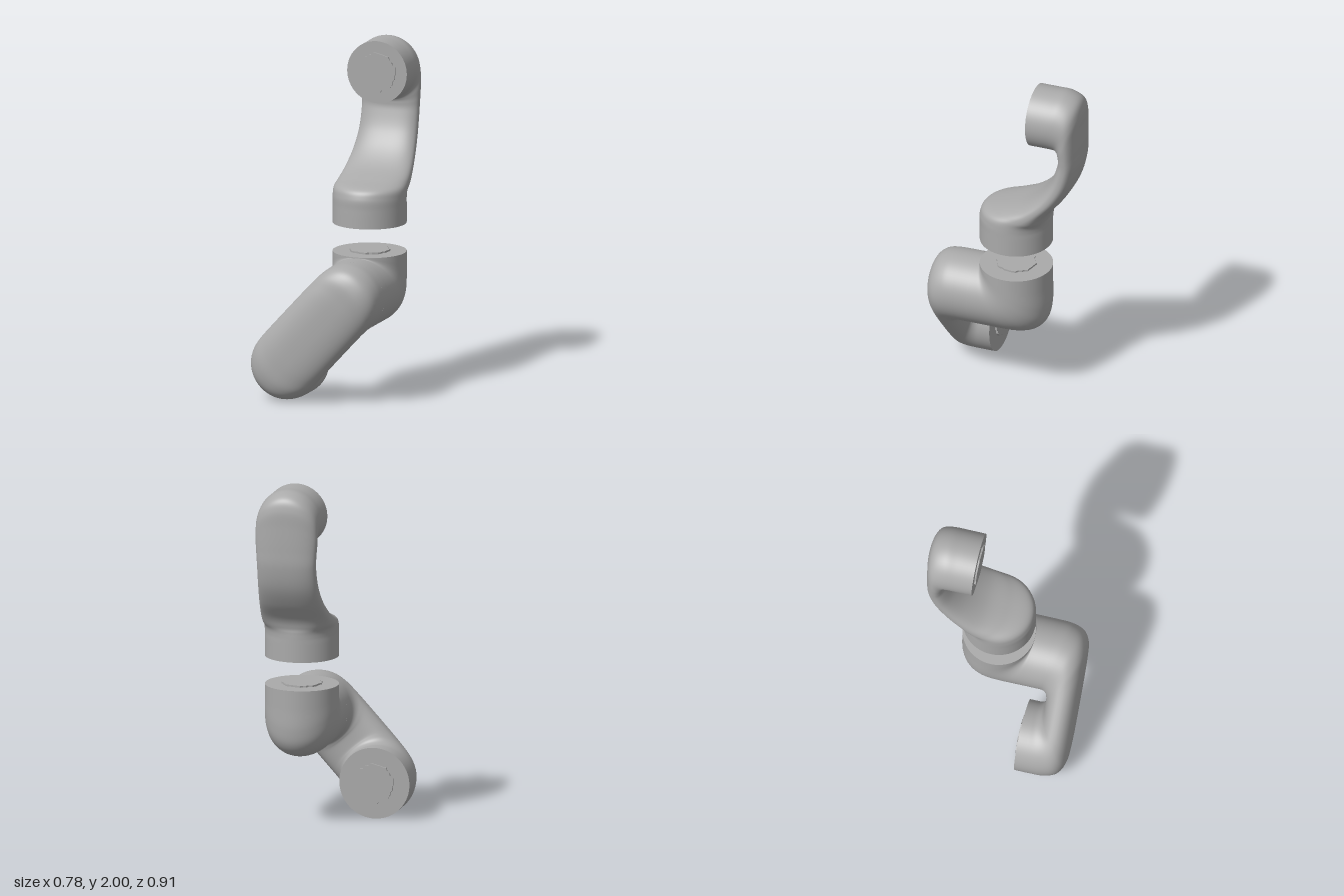
import * as THREE from 'three';

const SEG = 64, STEPS = 8;
const V = (x, y, z) => new THREE.Vector3(x, y, z);

// Sweeps a superellipse between an outer and an inner profile line.
// Station: [outerA, outerB, innerA, innerB, halfWidth, exponent]
function loft(stations, toWorld, side) {
  const curve = (a, b, c) => new THREE.CatmullRomCurve3(
    stations.map(s => V(s[a], s[b], c === undefined ? 0 : s[c])), false, 'catmullrom', 0.5);
  const outer = curve(0, 1, 4), inner = curve(2, 3, 5);
  const pos = [], idx = [], n = (stations.length - 1) * STEPS;
  const put = p => pos.push(p.x, p.y, p.z) / 3 - 1;
  const power = (c, e) => Math.sign(c) * Math.pow(Math.abs(c), 2 / e);
  const rings = [];
  for (let i = 0; i <= n; i++) {
    const o = outer.getPoint(i / n), q = inner.getPoint(i / n);
    const po = toWorld(o.x, o.y), pi = toWorld(q.x, q.y);
    const mid = po.clone().add(pi).multiplyScalar(0.5), half = po.clone().sub(mid);
    const ring = [];
    for (let j = 0; j < SEG; j++) {
      const t = j / SEG * Math.PI * 2;
      ring.push(mid.clone().addScaledVector(half, power(Math.cos(t), q.z))
        .addScaledVector(side, o.z * power(Math.sin(t), q.z)));
    }
    ring.forEach(put);
    rings.push({ ring, mid });
  }
  for (let i = 0; i < n; i++) for (let j = 0; j < SEG; j++) {
    const k = (j + 1) % SEG, a = i * SEG + j, b = i * SEG + k;
    idx.push(a, a + SEG, b, a + SEG, b + SEG, b);
  }
  // flat end caps with their own corners
  [rings[0], rings[n]].forEach(({ ring, mid }, end) => {
    const c = put(mid), first = c + 1;
    ring.forEach(put);
    for (let j = 0; j < SEG; j++) {
      const a = first + j, b = first + (j + 1) % SEG;
      if (end) idx.push(c, b, a); else idx.push(c, a, b);
    }
  });
  const g = new THREE.BufferGeometry();
  g.setAttribute('position', new THREE.Float32BufferAttribute(pos, 3));
  g.setIndex(idx);
  g.computeVertexNormals();
  return g;
}

// Low raised pad with an uneven rim, facing +z
function padGeometry() {
  const pts = [];
  for (let i = 0; i < 40; i++) {
    const t = i / 40 * Math.PI * 2, r = 0.112 + 0.008 * Math.sin(i * 2.4) * Math.cos(i * 1.1);
    pts.push(new THREE.Vector2(Math.cos(t) * r, Math.sin(t) * r));
  }
  return new THREE.ExtrudeGeometry(new THREE.Shape(pts), { depth: 0.014, bevelEnabled: false });
}

export function createModel() {
  const model = new THREE.Group();
  const grey = new THREE.MeshStandardMaterial({ color: 0xaaaaaa });
  grey.name = 'grey';
  const add = (name, geometry) => {
    const m = new THREE.Mesh(geometry, grey);
    m.name = name;
    model.add(m);
    return m;
  };
  const X = 0.18;
  const inSidePlane = (z, y) => V(X, y, z);

  // Upper arm: round foot, swept neck and forward-facing drum
  add('upperArm', loft([
    [-0.26, 0.98, 0.155, 0.98, 0.21, 2],
    [-0.26, 1.08, 0.155, 1.08, 0.21, 2],
    [-0.26, 1.12, 0.153, 1.15, 0.21, 2],
    [-0.26, 1.15, 0.12, 1.20, 0.209, 2.1],
    [-0.262, 1.18, 0.0, 1.235, 0.206, 2.3],
    [-0.285, 1.235, -0.12, 1.28, 0.198, 2.4],
    [-0.36, 1.33, -0.22, 1.36, 0.184, 2.4],
    [-0.42, 1.44, -0.29, 1.46, 0.174, 2.4],
    [-0.45, 1.56, -0.328, 1.57, 0.171, 2.4],
    [-0.455, 1.67, -0.333, 1.615, 0.175, 2.3],
    [-0.455, 1.80, -0.329, 1.631, 0.18, 2.2],
    [-0.453, 1.90, -0.32, 1.638, 0.18, 2.1],
    [-0.43, 1.965, -0.305, 1.641, 0.18, 2],
    [-0.36, 1.998, -0.28, 1.641, 0.18, 2],
    [-0.28, 2.0, -0.24, 1.641, 0.18, 2],
    [-0.17, 2.0, -0.17, 1.641, 0.18, 2],
  ], inSidePlane, V(1, 0, 0)));

  // Elbow: upright socket turning forward around its top front edge
  add('elbow', loft([
    [-0.26, 0.815, 0.155, 0.815, 0.21, 2],
    [-0.26, 0.70, 0.155, 0.814, 0.21, 2],
    [-0.26, 0.58, 0.155, 0.813, 0.21, 2],
    [-0.242, 0.49, 0.155, 0.812, 0.21, 2],
    [-0.19, 0.43, 0.155, 0.811, 0.209, 2],
    [-0.10, 0.403, 0.155, 0.81, 0.207, 2],
    [0.02, 0.4, 0.157, 0.81, 0.206, 2],
    [0.17, 0.4, 0.17, 0.81, 0.205, 2],
    [0.26, 0.4, 0.26, 0.81, 0.205, 2],
  ], inSidePlane, V(-1, 0, 0)));

  // Lower link: slanted plate joining the elbow to a backward-facing drum
  const u = V(-0.674, -0.7387, 0);
  const inLinkPlane = (z, s) => V(X, 0.605, z).addScaledVector(u, s);
  const half = [
    [0.17, -0.205, 0.17, 0.205, 0.205, 2],
    [0.26, -0.205, 0.21, 0.205, 0.205, 2],
    [0.34, -0.2, 0.235, 0.206, 0.205, 2],
    [0.41, -0.168, 0.25, 0.21, 0.205, 2.1],
    [0.445, -0.1, 0.26, 0.217, 0.205, 2.2],
    [0.453, 0.0, 0.266, 0.228, 0.205, 2.3],
    [0.455, 0.14, 0.27, 0.245, 0.205, 2.4],
  ];
  const mirrored = half.map(([oz, os, iz, is, w, n]) => [oz, 0.54 - os, iz, 0.54 - is, w, n]).reverse();
  add('lowerLink', loft([...half, ...mirrored], inLinkPlane, V(0.7387, -0.674, 0)));

  // Contact pads on the four joint faces: [name, position, rotation x, rotation y]
  const pad = padGeometry();
  [
    ['upperDrumPad', [X, 1.82, -0.175], 0, 0],
    ['footPad', [X, 0.985, -0.052], Math.PI / 2, 0],
    ['socketPad', [X, 0.811, -0.052], -Math.PI / 2, 0],
    ['lowerDrumPad', [-0.184, 0.206, 0.171], 0, Math.PI],
  ].forEach(([name, p, rx, ry]) => {
    const m = add(name, pad);
    m.position.set(...p);
    m.rotation.set(rx, ry, 0);
  });
  return model;
}
